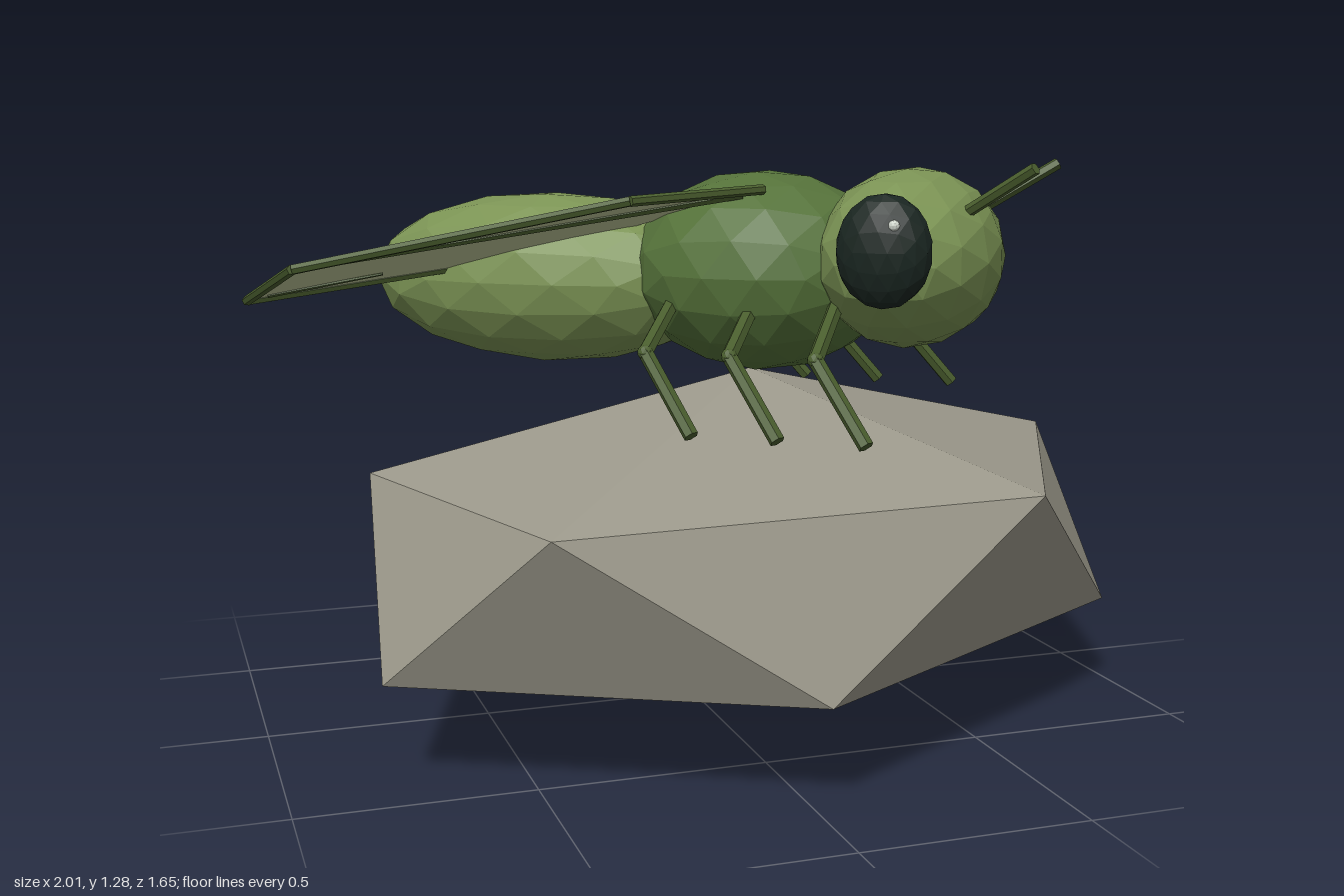
import * as THREE from 'three';
import { ConvexGeometry } from 'three/addons/geometries/ConvexGeometry.js';

const material = (name, color, extra = {}) => {
  const m = new THREE.MeshStandardMaterial({ color, ...extra });
  m.name = name;
  return m;
};

export function createModel() {
  const flat = { flatShading: true };
  const stone = material('stone', 0x9c998b, flat);
  const leafGreen = material('leafGreen', 0x7b9354, flat);
  const mossGreen = material('mossGreen', 0x55723a, flat);
  const stemGreen = material('stemGreen', 0x4a5e2e, flat);
  const eyeBlack = material('eyeBlack', 0x1a2621, flat);
  const glint = material('glint', 0xd0d6cc, flat);
  const wingPale = material('wingPale', 0xbfc799, { side: THREE.DoubleSide });

  const model = new THREE.Group();
  model.name = 'flyOnRock';
  const fly = new THREE.Group();
  fly.name = 'fly';
  fly.position.set(0.1, 0, 0.19);
  fly.rotation.y = 0.927;
  model.add(fly);

  const add = (parent, name, geometry, mat) => {
    const mesh = new THREE.Mesh(geometry, mat);
    mesh.name = name;
    parent.add(mesh);
    return mesh;
  };

  // Faceted ellipsoid
  const blob = (name, mat, center, radii, detail = 2) => {
    const mesh = add(fly, name, new THREE.IcosahedronGeometry(1, detail), mat);
    mesh.position.set(...center);
    mesh.scale.set(...radii);
    return mesh;
  };

  // Thin rod between two points
  const rod = (parent, name, a, b, r0, r1 = r0) => {
    const from = new THREE.Vector3(...a), to = new THREE.Vector3(...b);
    const dir = to.clone().sub(from);
    const mesh = add(parent, name, new THREE.CylinderGeometry(r1, r0, dir.length(), 6), stemGreen);
    mesh.position.copy(from).add(to).multiplyScalar(0.5);
    mesh.quaternion.setFromUnitVectors(new THREE.Vector3(0, 1, 0), dir.normalize());
    return mesh;
  };

  // Rock: squashed icosahedron, the lower half mirrors the upper through its centre
  const upper = [[0, 0.4, 0], [-0.62, 0.178, 0.605], [0.47, 0.178, 0.535],
    [0.9, 0.178, -0.285], [0.08, 0.178, -0.705], [-0.85, 0.178, -0.155]]
    .map((p) => new THREE.Vector3(...p));
  const lower = upper.map((p) => p.clone().negate());
  const rock = add(model, 'rock', new ConvexGeometry([...upper, ...lower]), stone);
  rock.position.set(0.1, 0.4, 0.115);

  // Body
  blob('abdomen', leafGreen, [0, 1.0, -0.51], [0.21, 0.195, 0.44]);
  blob('thorax', mossGreen, [0, 1.03, 0], [0.255, 0.222, 0.3]);
  blob('head', leafGreen, [0, 1.067, 0.335], [0.31, 0.195, 0.2]);

  // Wing plane height at a point
  const lift = (u, w) => 1.183 + 0.13 * u + 0.26 * w;
  const outline = [[0.15, 0.045], [0.43, -0.152], [0.665, -0.792], [0.442, -1.042], [0.05, -0.52]];

  for (const s of [1, -1]) {
    const side = s > 0 ? 'left' : 'right';

    // Eye with a small glint
    blob(side + 'Eye', eyeBlack, [s * 0.28, 1.1, 0.337], [0.062, 0.118, 0.1]);
    blob(side + 'EyeGlint', glint, [s * 0.328, 1.155, 0.367], [0.01, 0.012, 0.012], 1);

    // Antenna
    rod(fly, side + 'Antenna', [s * 0.09, 1.145, 0.43], [s * 0.173, 1.265, 0.62], 0.013);

    // Legs: thigh and shin with a knee joint
    for (let i = 0; i < 3; i++) {
      const w = 0.225 - i * 0.181;
      const leg = new THREE.Group();
      leg.name = side + ['Front', 'Middle', 'Rear'][i] + 'Leg';
      fly.add(leg);
      const knee = [s * 0.385, 0.888, w];
      rod(leg, 'thigh', [s * 0.14, 0.985, w - 0.015], knee, 0.017);
      rod(leg, 'shin', knee, [s * 0.45, 0.73, w + 0.122], 0.016);
      const joint = add(leg, 'knee', new THREE.IcosahedronGeometry(0.017, 1), stemGreen);
      joint.position.set(...knee);
    }

    // Wing membrane laid on its tilted plane
    const wing = new THREE.Group();
    wing.name = side + 'Wing';
    fly.add(wing);
    const shape = new THREE.Shape(outline.map(([u, w]) => new THREE.Vector2(s * u, -w)));
    const membrane = new THREE.ShapeGeometry(shape);
    const pos = membrane.attributes.position;
    for (let i = 0; i < pos.count; i++) {
      const x = pos.getX(i), w = -pos.getY(i);
      pos.setXYZ(i, x, lift(Math.abs(x), w), w);
    }
    membrane.computeVertexNormals();
    add(wing, 'membrane', membrane, wingPale);

    // Wing rim and veins
    const at = ([u, w], dy = 0) => [s * u, lift(u, w) + dy, w];
    for (let i = 0; i < 4; i++) {
      rod(wing, 'rim', at(outline[i]), at(outline[i + 1]), 0.011);
    }
    rod(wing, 'longVein', at([0.16, 0.0]), at(outline[2]), 0.011, 0.007);
    rod(wing, 'shortVein', at([0.44, -0.99]), at([0.355, -0.755], -0.004), 0.006, 0.003);
  }

  return model;
}
